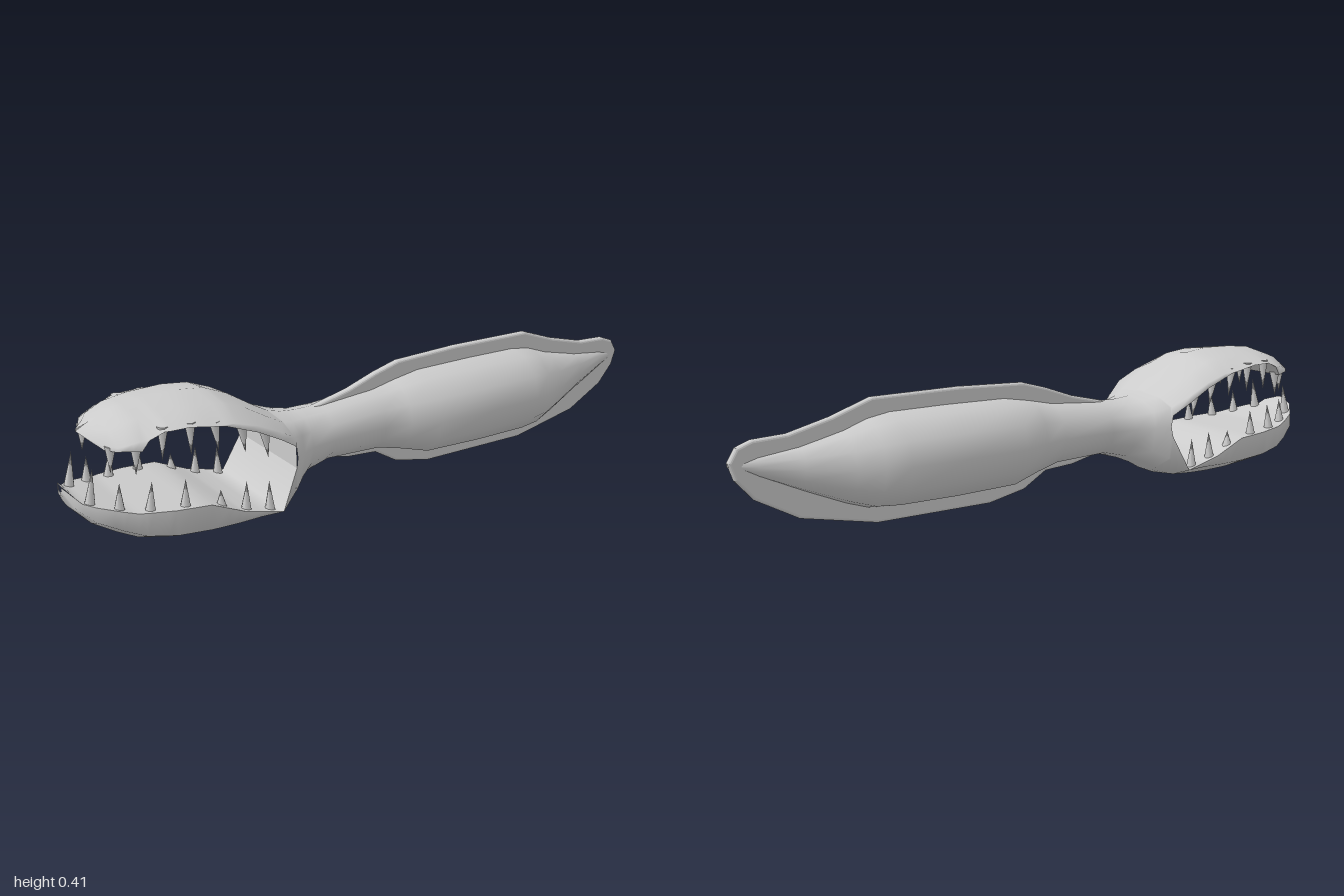
import * as THREE from 'three';
import { mergeGeometries, mergeVertices } from 'three/addons/utils/BufferGeometryUtils.js';

const MOUTH_BACK = -0.375, SNOUT = -0.944;

// Body stations: x, half width, top, bottom, middle height, boxiness
const BODY = [
  [-1, 0.01, 0.22, 0.195, 0.21, 1], [-0.985, 0.06, 0.25, 0.15, 0.21, 1],
  [SNOUT, 0.105, 0.36, 0.105, 0.205, 1], [-0.885, 0.138, 0.38, 0.07, 0.205, 1],
  [-0.83, 0.16, 0.4, 0.042, 0.205, 1], [-0.75, 0.177, 0.408, 0.025, 0.205, 1],
  [-0.65, 0.182, 0.41, 0.015, 0.205, 1], [-0.57, 0.182, 0.4, 0.012, 0.205, 1],
  [-0.5, 0.182, 0.37, 0.013, 0.205, 1], [-0.43, 0.182, 0.325, 0.018, 0.205, 1],
  [MOUTH_BACK, 0.165, 0.293, 0.04, 0.2, 0.6], [-0.37, 0.163, 0.291, 0.042, 0.2, 0.58],
  [-0.33, 0.135, 0.28, 0.065, 0.195, 0.3], [-0.28, 0.102, 0.275, 0.085, 0.19, 0],
  [-0.2, 0.093, 0.276, 0.108, 0.19, 0], [-0.02, 0.093, 0.29, 0.1, 0.19, 0],
  [0.06, 0.115, 0.307, 0.08, 0.19, 0], [0.15, 0.143, 0.322, 0.053, 0.187, 0],
  [0.35, 0.148, 0.324, 0.047, 0.186, 0], [0.53, 0.147, 0.322, 0.047, 0.186, 0],
  [0.6, 0.13, 0.31, 0.052, 0.184, 0], [0.67, 0.1, 0.285, 0.075, 0.184, 0],
  [0.8, 0.052, 0.255, 0.13, 0.195, 0], [0.92, 0.023, 0.24, 0.185, 0.213, 0],
  [1, 0.003, 0.226, 0.219, 0.222, 0],
];
// Jaw rims: x, height
const UPPER_RIM = [[SNOUT, 0.352], [-0.905, 0.32], [-0.87, 0.327], [-0.83, 0.322], [-0.81, 0.35],
  [-0.77, 0.368], [-0.7, 0.368], [-0.6, 0.35], [-0.5, 0.31], [-0.43, 0.272], [MOUTH_BACK, 0.235]];
const LOWER_RIM = [[-1, 0.212], [-0.97, 0.18], [-0.85, 0.15], [-0.65, 0.135], [-0.55, 0.09],
  [-0.43, 0.058], [MOUTH_BACK, 0.17]];

// Linear look-up in a table sorted by its first column
function sample(table, x) {
  const i = Math.max(1, table.findIndex(r => r[0] >= x - 1e-6));
  const a = table[i - 1], b = table[i];
  const t = THREE.MathUtils.clamp((x - a[0]) / (b[0] - a[0]), 0, 1);
  return a.map((v, k) => v + (b[k] - v) * t);
}

// Surface through rows of points
function patch(rows) {
  const n = rows[0].length, index = [];
  for (let i = 0; i < rows.length - 1; i++)
    for (let j = 0; j < n - 1; j++) {
      const a = i * n + j, b = a + n;
      index.push(a, b, b + 1, a, b + 1, a + 1);
    }
  const g = new THREE.BufferGeometry();
  g.setAttribute('position', new THREE.Float32BufferAttribute(rows.flat(2), 3));
  g.setIndex(index);
  return g;
}

const upperWidth = x => Math.min(sample(BODY, x)[1], (x - SNOUT) * 2.25);

// Half a cross-section, clipped at the jaw rim inside the mouth
const ROUND = [[1, 0], [0.87, 0.5], [0.5, 0.87], [0, 1]];
const BOXY = [[1, 0], [1, 0.75], [0.58, 0.93], [0, 1]];
function halfSection(x, upper) {
  const [, w0, top, bottom, mid, box] = sample(BODY, x);
  const w = upper ? upperWidth(x) : w0;
  const side = ROUND.map((r, k) => {
    const pz = r[0] + (BOXY[k][0] - r[0]) * box, py = r[1] + (BOXY[k][1] - r[1]) * box;
    let y = mid + ((upper ? top : bottom) - mid) * py;
    if (x <= MOUTH_BACK + 1e-6)
      y = upper ? Math.max(y, sample(UPPER_RIM, x)[1]) : Math.min(y, sample(LOWER_RIM, x)[1]);
    return [x, y, w * pz];
  });
  const other = side.slice(0, 3).reverse().map(([a, b, c]) => [a, b, -c]);
  const over = [...side, ...other];
  return upper ? over : over.reverse();
}

export function createModel() {
  const model = new THREE.Group();
  const material = new THREE.MeshStandardMaterial({ color: 0xcccccc });
  const add = (name, geometry, parent = model) => {
    const mesh = new THREE.Mesh(geometry, material);
    mesh.name = name;
    parent.add(mesh);
    return mesh;
  };

  // Skin of head, neck and body
  const xs = [...new Set([...BODY, ...UPPER_RIM, ...LOWER_RIM].map(r => r[0]))].sort((a, b) => a - b);
  const upperXs = xs.filter(x => x >= SNOUT);
  const skin = mergeVertices(mergeGeometries([
    patch(upperXs.map(x => halfSection(x, true))),
    patch(xs.map(x => halfSection(x, false))),
  ]), 1e-5);
  skin.computeVertexNormals();
  add('body', skin);

  // Mouth lining: floor, palate and throat wall
  const lining = (name, rows) => {
    const g = patch(rows);
    g.computeVertexNormals();
    add(name, g);
  };
  lining('mouthFloor', xs.filter(x => x <= MOUTH_BACK).map(x => {
    const w = sample(BODY, x)[1], y = sample(LOWER_RIM, x)[1];
    return [[x, y, w], [x, y, -w]];
  }));
  lining('palate', upperXs.filter(x => x <= MOUTH_BACK).map(x => {
    const w = upperWidth(x), y = sample(UPPER_RIM, x)[1];
    return [[x, y, -w], [x, y, w]];
  }));
  const tw = sample(BODY, MOUTH_BACK)[1];
  lining('throatWall', [-tw, tw].map(z => [[MOUTH_BACK, 0.17, z], [MOUTH_BACK, 0.235, z]]));

  // Fin running over the back, round the tail and under the belly
  const r = 0.008;
  const outline = [[-0.25, 0.26], [-0.2, 0.272], [-0.1, 0.295], [0, 0.33], [0.08, 0.352], [0.3, 0.36],
    [0.58, 0.357], [0.7, 0.315], [0.83, 0.282], [0.93, 0.277], [0.97, 0.262], [0.99, 0.228],
    [0.975, 0.185], [0.925, 0.128], [0.8, 0.06], [0.57, 0.013], [0.2, 0.015], [0.08, 0.04],
    [0, 0.088], [-0.1, 0.095], [-0.2, 0.118], [-0.25, 0.15]];
  const finShape = new THREE.Shape(outline.map(p => new THREE.Vector2(...p)));
  const fin = new THREE.ExtrudeGeometry(finShape, {
    depth: 0.008, bevelThickness: r, bevelSize: r, bevelSegments: 3,
  });
  add('fin', fin.translate(0, 0, -0.004));

  // Teeth: base x, tip x, tip height
  const teeth = new THREE.Group();
  teeth.name = 'teeth';
  model.add(teeth);
  const LOWER = [[-0.95, -0.935, 0.27], [-0.885, -0.88, 0.23], [-0.81, -0.8, 0.225], [-0.715, -0.71, 0.215],
    [-0.61, -0.61, 0.16], [-0.535, -0.53, 0.165], [-0.46, -0.46, 0.15]];
  const UPPER = [[-0.89, -0.895, 0.255], [-0.835, -0.84, 0.25], [-0.765, -0.77, 0.28], [-0.69, -0.69, 0.28],
    [-0.62, -0.61, 0.273], [-0.54, -0.53, 0.25], [-0.47, -0.46, 0.22]];
  const up = new THREE.Vector3(0, 1, 0);
  for (const [name, list, rim, width] of [
    ['lowerTooth', LOWER, LOWER_RIM, x => sample(BODY, x)[1]],
    ['upperTooth', UPPER, UPPER_RIM, upperWidth]])
    for (const [bx, tx, ty] of list)
      for (const s of [-1, 1]) {
        const by = sample(rim, bx)[1], z = s * (width(bx) - 0.026);
        const base = new THREE.Vector3(bx, by + Math.sign(by - ty) * 0.008, z);
        const dir = new THREE.Vector3(tx, ty, z).sub(base);
        const len = dir.length();
        const tooth = add(name, new THREE.ConeGeometry(0.016, len, 8).translate(0, len / 2, 0), teeth);
        tooth.position.copy(base);
        tooth.quaternion.setFromUnitVectors(up, dir.normalize());
      }

  return model;
}
